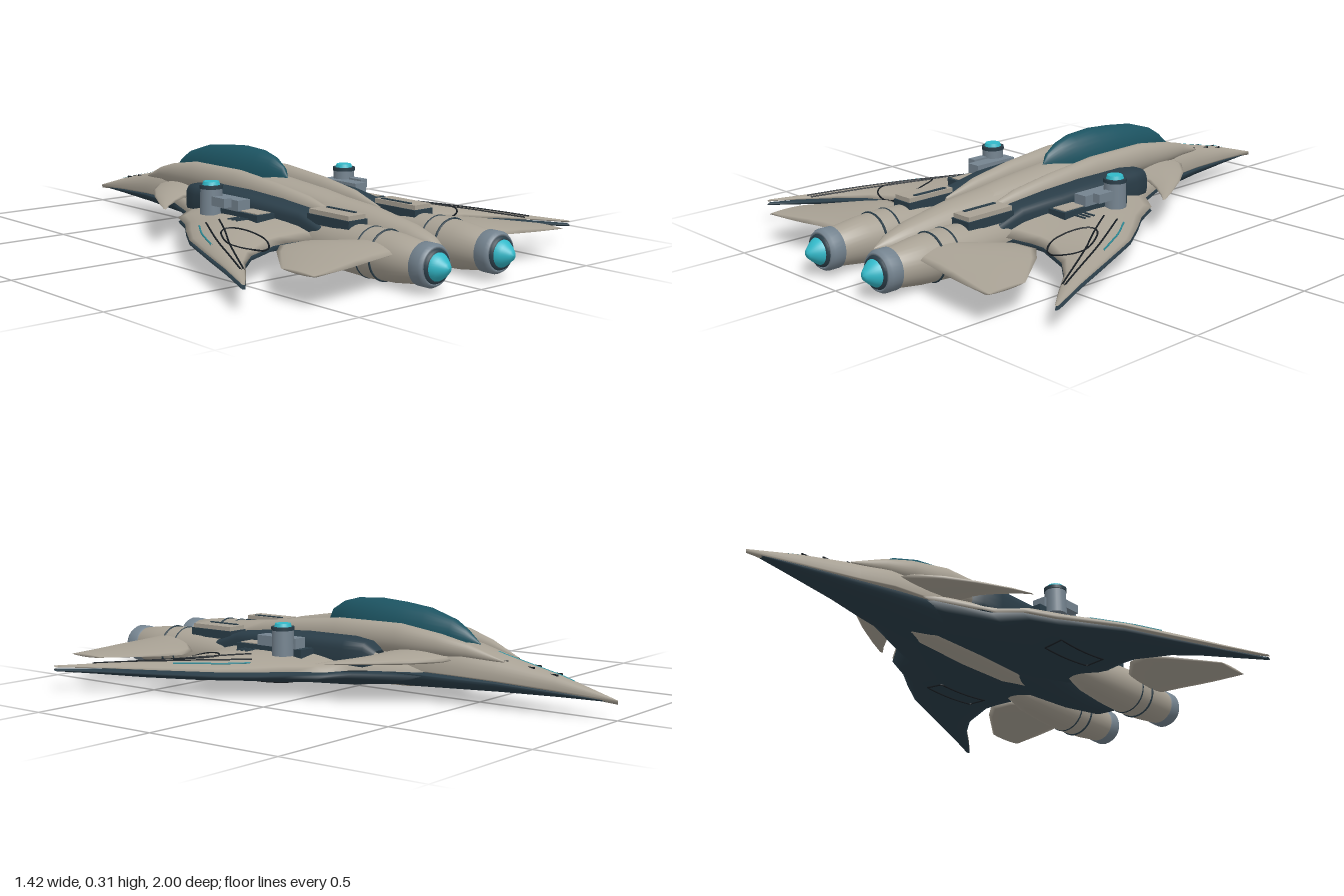
import * as THREE from 'three';
import { mergeVertices } from 'three/addons/utils/BufferGeometryUtils.js';

const paint = (name, color) => new THREE.MeshStandardMaterial({ name, color, side: THREE.DoubleSide });

// Smooth skin through rows of [x, y, z] points
function skin(rows) {
  const n = rows[0].length, index = [];
  for (let i = 0; i < rows.length - 1; i++) for (let j = 0; j < n - 1; j++) {
    const a = i * n + j, b = a + 1, c = a + n, d = c + 1;
    index.push(a, b, c, b, d, c);
  }
  let g = new THREE.BufferGeometry();
  g.setAttribute('position', new THREE.Float32BufferAttribute(rows.flat(2), 3));
  g.setIndex(index);
  g = mergeVertices(g, 1e-5);
  g.computeVertexNormals();
  return g;
}

// Body from stations [z, xCentre, yCentre, halfWidth, heightUp, heightDown]
function body(stations, power = 1, seg = 28) {
  const bend = v => Math.sign(v) * Math.abs(v) ** power;
  return skin(stations.map(([z, x, y, w, up, down = up]) => Array.from({ length: seg + 1 }, (_, j) => {
    const t = (j % seg) / seg * Math.PI * 2, s = bend(Math.sin(t));
    return [x + w * bend(Math.cos(t)), y + s * (s > 0 ? up : down), z];
  })));
}

// Blade from stations [x, zLead, zTrail, yEdge, bulgeUp, bulgeDown]
const bulge = v => Math.sin(Math.PI * Math.min(1, Math.max(0, v))) ** 0.7;
function blade(stations, n = 14) {
  return skin(stations.map(([x, lead, trail, y, up, down]) => Array.from({ length: 2 * n + 1 }, (_, j) => {
    const v = j <= n ? j / n : 2 - j / n;
    return [x, y + bulge(v) * (j <= n ? up : -down), lead + (trail - lead) * v];
  })));
}

const WING = [
  [0.06, -0.42, 0.55, 0.10, 0.065, 0.068], [0.14, -0.34, 0.52, 0.10, 0.057, 0.062],
  [0.22, -0.15, 0.487, 0.098, 0.05, 0.052], [0.30, -0.09, 0.468, 0.095, 0.045, 0.042],
  [0.35, 0.015, 0.465, 0.093, 0.042, 0.036], [0.41, 0.10, 0.487, 0.09, 0.034, 0.03],
  [0.48, 0.21, 0.515, 0.088, 0.027, 0.024], [0.56, 0.40, 0.585, 0.086, 0.02, 0.018],
  [0.64, 0.59, 0.685, 0.085, 0.01, 0.01], [0.71, 0.745, 0.768, 0.083, 0.003, 0.003],
];

// Height of the wing skin at a point; side 1 is the top, -1 the underside
function wingY(x, z, side) {
  let i = 0;
  while (i < WING.length - 2 && x > WING[i + 1][0]) i++;
  const f = (x - WING[i][0]) / (WING[i + 1][0] - WING[i][0]);
  const [, lead, trail, y, up, down] = WING[i].map((a, k) => a + (WING[i + 1][k] - a) * f);
  const b = bulge((z - lead) / (trail - lead));
  return side > 0 ? y + b * up + 0.001 : y - 0.014 - b * down - 0.001;
}

// Fine line lying on the wing through [x, z] points
function wingLine(points, closed = false, side = 1, tension = 0.5) {
  const path = new THREE.CatmullRomCurve3(points.map(([x, z]) => new THREE.Vector3(x, 0, z)), closed, 'catmullrom', tension);
  const curve = new THREE.CatmullRomCurve3(path.getPoints(40).slice(0, closed ? 40 : 41)
    .map(p => new THREE.Vector3(p.x, wingY(p.x, p.z, side), p.z)), closed);
  return new THREE.TubeGeometry(curve, 60, 0.003, 5, closed);
}

// Turned part along z from [radius, z] points
const turned = pts => new THREE.LatheGeometry(pts.map(p => new THREE.Vector2(...p)), 32).rotateX(Math.PI / 2).scale(1, -1, 1).rotateZ(Math.PI);

export function createModel() {
  const hull = paint('hull beige', 0xa8a194), dark = paint('slate', 0x2a3d48), glass = paint('canopy teal', 0x1c5361),
    glow = paint('glow cyan', 0x32b8c8), metal = paint('blue grey metal', 0x74838f), black = paint('line black', 0x171d22),
    trim = paint('trim teal', 0x2b8d9a);
  const model = new THREE.Group();
  const add = (parent, name, geometry, material, x = 0, y = 0, z = 0) => {
    const mesh = new THREE.Mesh(geometry, material);
    mesh.name = name;
    mesh.position.set(x, y, z);
    parent.add(mesh);
    return mesh;
  };
  const box = (...size) => new THREE.BoxGeometry(...size);

  // Fuselage, belly and canopy
  const top = [[-1, 0.063], [-0.8, 0.12], [-0.6, 0.165], [-0.48, 0.195], [-0.3, 0.212], [0, 0.222], [0.3, 0.208], [0.55, 0.185], [0.72, 0.155], [0.8, 0.13], [0.85, 0.1]];
  const half = [0.001, 0.035, 0.073, 0.105, 0.125, 0.115, 0.088, 0.072, 0.05, 0.03, 0.001];
  const mid = [0.062, 0.078, 0.092, 0.1, 0.105, 0.105, 0.1, 0.095, 0.095, 0.095, 0.098];
  add(model, 'fuselage', body(top.map(([z, y], i) => [z, 0, mid[i], half[i], y - mid[i], 0.012]), 0.9), hull);
  add(model, 'belly', body([[-0.97, 0, 0.058, 0.004, 0.003], [-0.8, 0, 0.068, 0.036, 0.01, 0.016], [-0.6, 0, 0.08, 0.074, 0.012, 0.034],
    [-0.45, 0, 0.085, 0.108, 0.012, 0.045], [-0.3, 0, 0.09, 0.135, 0.01, 0.057], [0, 0, 0.09, 0.15, 0.01, 0.067],
    [0.3, 0, 0.09, 0.12, 0.01, 0.072], [0.55, 0, 0.085, 0.075, 0.01, 0.067], [0.72, 0, 0.085, 0.045, 0.01, 0.045], [0.83, 0, 0.09, 0.002, 0.002]]), dark);
  add(model, 'bellyPatch', body([[-0.3, 0, 0.04, 0.002, 0.002, 0.01], [-0.22, 0, 0.04, 0.045, 0.002, 0.016], [0, 0, 0.035, 0.055, 0.002, 0.017],
    [0.2, 0, 0.03, 0.045, 0.002, 0.015], [0.28, 0, 0.03, 0.002, 0.002, 0.012]]), hull);
  add(model, 'canopy', body([[-0.5, 0, 0.19, 0.002, 0.003], [-0.45, 0, 0.2, 0.024, 0.035], [-0.4, 0, 0.21, 0.04, 0.055], [-0.3, 0, 0.215, 0.059, 0.081],
    [-0.2, 0, 0.22, 0.067, 0.088], [-0.1, 0, 0.22, 0.068, 0.095], [0, 0, 0.222, 0.054, 0.087], [0.06, 0, 0.225, 0.036, 0.068], [0.11, 0, 0.225, 0.016, 0.038], [0.13, 0, 0.225, 0.001, 0.003]]), glass);
  add(model, 'spineFairing', body([[-0.02, 0, 0.2, 0.06, 0.03], [0.1, 0, 0.195, 0.065, 0.035], [0.3, 0, 0.17, 0.065, 0.042], [0.5, 0, 0.14, 0.06, 0.045], [0.75, 0, 0.1, 0.02, 0.03]]), hull);

  // Nose stripe laid along the crest
  add(model, 'noseStripe', skin([[-0.85, 0.107], [-0.8, 0.122], [-0.6, 0.167], [-0.57, 0.175]].map(([z, y]) => [[-0.004, y, z], [0.004, y, z]])), trim);

  for (const side of [1, -1]) {
    const half = new THREE.Group();
    half.name = side > 0 ? 'leftHalf' : 'rightHalf';
    half.scale.x = side;
    model.add(half);

    // Wing: light upper blade over a dark lower blade
    add(half, 'wingUpper', blade(WING.map(([x, l, t, y, u]) => [x, l, t, y, u, 0.004])), hull);
    add(half, 'wingLower', blade(WING.map(([x, l, t, y, , d]) => [x, l, t, y - 0.014, 0.007, d])), dark);
    add(half, 'wingLoop', wingLine([[0.37, 0.33], [0.355, 0.43], [0.39, 0.485], [0.45, 0.485], [0.49, 0.45], [0.485, 0.4], [0.44, 0.32], [0.40, 0.29]], true), black);
    add(half, 'wingLineOuter', wingLine([[0.375, 0.16], [0.5, 0.38], [0.635, 0.655]]), black);
    add(half, 'wingLineInner', wingLine([[0.345, 0.19], [0.41, 0.3], [0.5, 0.44], [0.62, 0.65]]), black);
    add(half, 'wingStripe', wingLine([[0.395, 0.15], [0.46, 0.25], [0.525, 0.38]]).scale(1, 1, 1), trim);
    add(half, 'underwingPanel', wingLine([[0.24, 0.1], [0.31, 0.1], [0.31, 0.33], [0.24, 0.33]], true, -1, 0), black);

    // Canard and tail fin
    add(half, 'canard', blade([[0.08, -0.46, -0.19, 0.145, 0.025, 0.02], [0.13, -0.44, -0.19, 0.145, 0.024, 0.018], [0.2, -0.37, -0.185, 0.142, 0.018, 0.014],
      [0.26, -0.28, -0.155, 0.138, 0.012, 0.01], [0.32, -0.17, -0.115, 0.134, 0.006, 0.005], [0.35, -0.105, -0.09, 0.13, 0.001, 0.001]]), hull);
    add(half, 'tailFin', blade([[0.14, 0.64, 0.83, 0.11, 0.025, 0.02], [0.2, 0.63, 0.835, 0.108, 0.025, 0.02], [0.29, 0.52, 0.85, 0.106, 0.024, 0.015],
      [0.36, 0.505, 0.86, 0.103, 0.02, 0.012], [0.42, 0.56, 0.865, 0.1, 0.015, 0.01], [0.54, 0.72, 0.87, 0.095, 0.005, 0.005], [0.542, 0.73, 0.865, 0.095, 0, 0]]), hull);

    // Shoulder rib and dark side panel
    add(half, 'shoulderRib', body([[-0.62, 0.045, 0.15, 0.002, 0.002], [-0.5, 0.066, 0.175, 0.02, 0.025], [-0.4, 0.085, 0.188, 0.03, 0.038], [-0.25, 0.1, 0.2, 0.036, 0.05],
      [0, 0.105, 0.2, 0.036, 0.05], [0.2, 0.104, 0.185, 0.032, 0.044], [0.35, 0.1, 0.17, 0.026, 0.035], [0.48, 0.095, 0.155, 0.004, 0.01]]), hull);
    add(half, 'sidePanel', body([[-0.2, 0.15, 0.13, 0.03, 0.03], [-0.17, 0.16, 0.14, 0.045, 0.05], [-0.1, 0.165, 0.14, 0.06, 0.06], [0.1, 0.165, 0.14, 0.06, 0.06],
      [0.25, 0.165, 0.14, 0.058, 0.052], [0.4, 0.15, 0.13, 0.045, 0.045], [0.5, 0.15, 0.11, 0.045, 0.03]], 0.6), dark);

    // Engine nacelle with bands, nozzle and glow
    const engine = new THREE.Group();
    engine.name = 'engine';
    engine.position.set(0.142, 0.082, 0);
    half.add(engine);
    add(engine, 'nacelle', turned([[0.001, 0.34], [0.045, 0.39], [0.066, 0.47], [0.076, 0.58], [0.08, 0.7], [0.075, 0.8], [0.062, 0.9], [0.04, 0.905]]), hull);
    for (const z of [0.69, 0.75]) add(engine, 'band', new THREE.TorusGeometry(0.078, 0.004, 6, 32), dark, 0, 0, z);
    add(engine, 'nozzle', turned([[0.055, 0.89], [0.067, 0.9], [0.067, 0.938], [0.06, 0.95], [0.053, 0.95], [0.05, 0.92]]), metal);
    add(engine, 'nozzleThroat', turned([[0.055, 0.945], [0.05, 0.958], [0.036, 0.958], [0.001, 0.95]]), dark);
    add(engine, 'exhaustGlow', turned([[0.045, 0.945], [0.043, 0.96], [0.033, 0.975], [0.015, 0.996], [0.001, 1]]), glow);
    add(engine, 'nacelleBox', box(0.072, 0.05, 0.18), hull, 0.003, 0.08, 0.53);
    add(engine, 'boxVent', box(0.012, 0.004, 0.13), dark, -0.02, 0.106, 0.525);
    add(engine, 'boxSeat', box(0.08, 0.03, 0.19), dark, 0.003, 0.075, 0.53);

    // Gun turret on its wing mount
    const turret = new THREE.Group();
    turret.name = 'turret';
    half.add(turret);
    add(turret, 'mountPlate', box(0.075, 0.03, 0.29), dark, 0.25, 0.142, 0.165);
    add(turret, 'mountCover', box(0.055, 0.034, 0.09), hull, 0.25, 0.143, 0.255);
    add(turret, 'mountBlock', box(0.05, 0.055, 0.17), metal, 0.262, 0.165, 0.13);
    add(turret, 'turretBody', new THREE.CylinderGeometry(0.036, 0.038, 0.09, 24), metal, 0.298, 0.18, 0.09);
    add(turret, 'turretCollar', new THREE.CylinderGeometry(0.039, 0.039, 0.012, 24), dark, 0.298, 0.226, 0.09);
    add(turret, 'turretLens', new THREE.CylinderGeometry(0.026, 0.03, 0.012, 24), glow, 0.298, 0.237, 0.09);
    add(turret, 'turretArm', box(0.03, 0.03, 0.07), metal, 0.305, 0.183, 0.15);
    for (const z of [0.225, 0.245, 0.265]) add(turret, 'mountSlot', box(0.05, 0.004, 0.006), dark, 0.31, 0.141, z);

    // Dashes beside the nose crest
    for (const [x, z, y] of [[0.014, -0.78, 0.121], [0.022, -0.7, 0.137], [0.034, -0.61, 0.151]]) add(half, 'noseDash', box(0.004, 0.006, 0.035), black, x, y, z);
  }
  return model;
}
